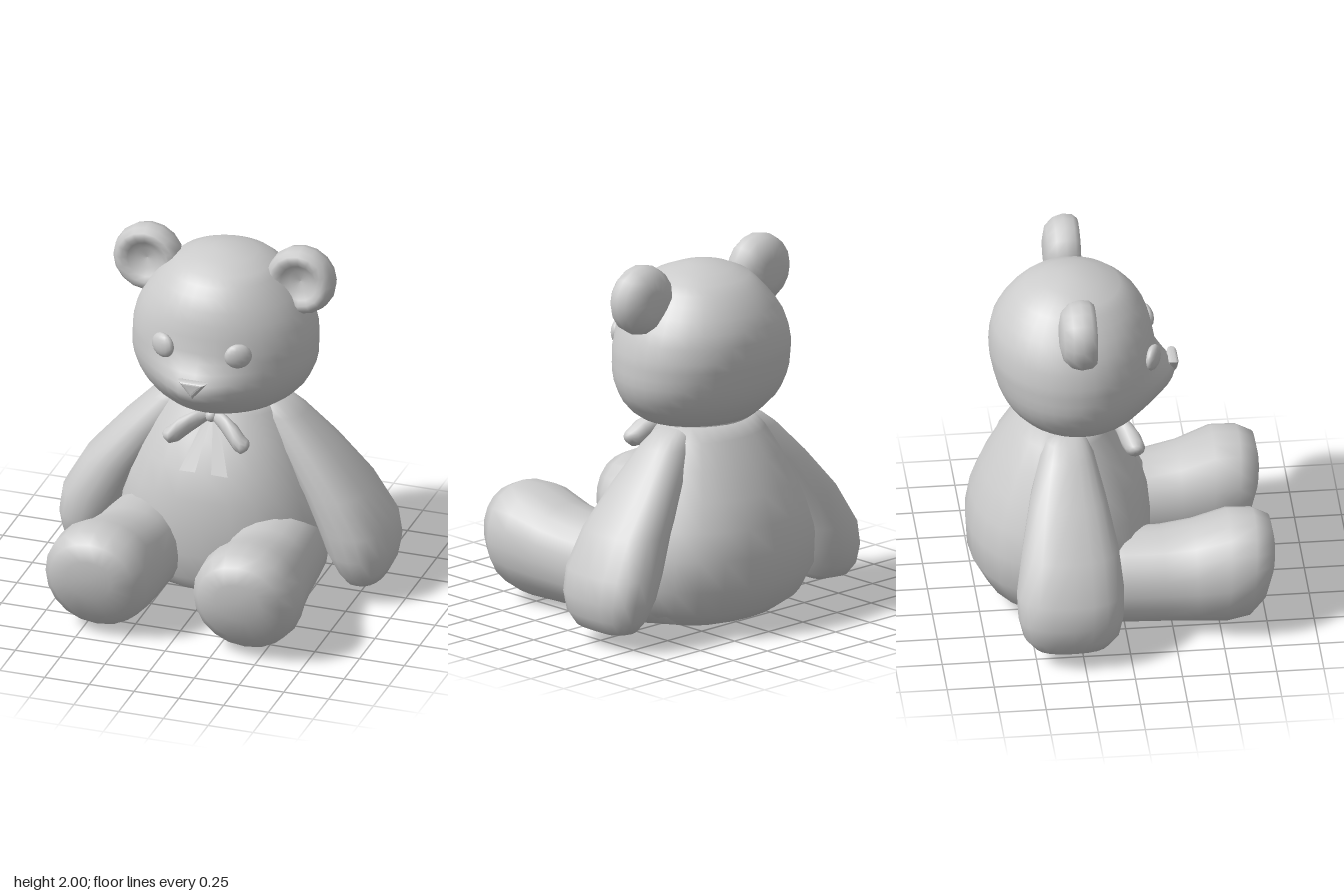
import * as THREE from 'three';

const material = new THREE.MeshStandardMaterial({ color: 0xcccccc });
const thinMaterial = new THREE.MeshStandardMaterial({ color: 0xcccccc, side: THREE.DoubleSide });

// Places ring coordinates (a, b) at distance s along an axis.
const place = {
  x: (s, a, b) => [s, a, b],
  y: (s, a, b) => [a, s, b],
  z: (s, a, b) => [a, b, s],
};

// Closed loft through oval sections [s, aMin, aMax, bMin, bMax, tilt]; power > 2 squares the ovals.
function loft(axis, sections, { sides = 20, power = 2 } = {}) {
  const pos = [], index = [];
  const tri = (a, b, c) => (axis === 'y' ? index.push(a, c, b) : index.push(a, b, c));
  const bend = v => Math.sign(v) * Math.pow(Math.abs(v), 2 / power);
  for (const [s, a0, a1, b0, b1, tilt = 0] of sections) {
    for (let j = 0; j < sides; j++) {
      const t = (j / sides) * Math.PI * 2;
      const db = bend(Math.sin(t)) * (b1 - b0) / 2;
      pos.push(...place[axis](s + tilt * db, (a0 + a1) / 2 + bend(Math.cos(t)) * (a1 - a0) / 2, (b0 + b1) / 2 + db));
    }
  }
  const last = sections.length - 1;
  for (let i = 0; i < last; i++) {
    for (let j = 0; j < sides; j++) {
      const k = (j + 1) % sides, p = i * sides, q = p + sides;
      tri(p + j, p + k, q + k);
      tri(p + j, q + k, q + j);
    }
  }
  // end caps
  for (const i of [0, last]) {
    const [s, a0, a1, b0, b1] = sections[i];
    const c = pos.length / 3, p = i * sides;
    pos.push(...place[axis](s, (a0 + a1) / 2, (b0 + b1) / 2));
    for (let j = 0; j < sides; j++) {
      const k = (j + 1) % sides;
      if (i === 0) tri(c, p + k, p + j);
      else tri(c, p + j, p + k);
    }
  }
  const g = new THREE.BufferGeometry();
  g.setAttribute('position', new THREE.Float32BufferAttribute(pos, 3));
  g.setIndex(index);
  g.computeVertexNormals();
  return g;
}

function ellipsoid(rx, ry, rz) {
  return new THREE.SphereGeometry(1, 14, 10).scale(rx, ry, rz);
}

// Swells the front of the head into a muzzle that blends with the cheeks.
function swellMuzzle(g) {
  const p = g.attributes.position;
  for (let i = 0; i < p.count; i++) {
    const x = p.getX(i), y = p.getY(i), z = p.getZ(i);
    const front = THREE.MathUtils.smoothstep(z, -0.15, 0.12);
    const height = (y - 1.3) / (y > 1.3 ? 0.115 : 0.15);
    p.setZ(i, z + 0.145 * front * Math.exp(-((x / 0.24) ** 2) - height ** 2));
  }
  g.computeVertexNormals();
  return g;
}

// Reflects a geometry across x = 0 and keeps its faces outward.
function mirrored(geometry) {
  const g = geometry.clone().scale(-1, 1, 1);
  const idx = g.index.array;
  for (let i = 0; i < idx.length; i += 3) [idx[i], idx[i + 1]] = [idx[i + 1], idx[i]];
  return g;
}

export function createModel() {
  const model = new THREE.Group();
  model.name = 'teddyBear';
  const add = (name, geometry, mat = material) => {
    const mesh = new THREE.Mesh(geometry, mat);
    mesh.name = name;
    model.add(mesh);
  };
  const addPair = (name, geometry, mat) => {
    add('left' + name, geometry, mat);
    add('right' + name, mirrored(geometry), mat);
  };
  // section symmetric in x: height, half width, back, front
  const sym = ([y, w, back, front]) => [y, -w, w, back, front];

  // Body
  add('body', loft('y', [
    [0.005, 0.28, -0.47, 0.0], [0.05, 0.42, -0.6, 0.1], [0.13, 0.52, -0.71, 0.15],
    [0.28, 0.58, -0.79, 0.18], [0.45, 0.58, -0.8, 0.18], [0.6, 0.53, -0.775, 0.165],
    [0.75, 0.465, -0.715, 0.125], [0.9, 0.395, -0.635, 0.04], [1.03, 0.32, -0.55, -0.04],
    [1.1, 0.26, -0.49, -0.08],
  ].map(sym), { sides: 24, power: 2.15 }));

  // Head with blended muzzle
  add('head', swellMuzzle(loft('y', [
    [1.075, 0.2, -0.4, 0.02], [1.11, 0.33, -0.5, 0.08], [1.15, 0.39, -0.54, 0.11], [1.2, 0.44, -0.585, 0.135],
    [1.25, 0.47, -0.615, 0.155], [1.3, 0.49, -0.635, 0.17], [1.35, 0.5, -0.65, 0.18], [1.4, 0.5, -0.66, 0.19],
    [1.45, 0.498, -0.67, 0.195], [1.5, 0.495, -0.675, 0.198], [1.58, 0.475, -0.67, 0.19],
    [1.65, 0.445, -0.655, 0.175], [1.72, 0.4, -0.62, 0.15], [1.78, 0.35, -0.58, 0.115],
    [1.83, 0.305, -0.535, 0.07], [1.87, 0.26, -0.485, 0.02], [1.91, 0.17, -0.4, -0.08], [1.93, 0.07, -0.3, -0.17],
  ].map(sym), { sides: 36, power: 2.05 })));

  // Nose: rounded triangle
  const tri = new THREE.Shape();
  tri.moveTo(0, -0.025);
  tri.lineTo(0.045, 0.02);
  tri.lineTo(-0.045, 0.02);
  add('nose', new THREE.ExtrudeGeometry(tri, {
    depth: 0.01, bevelThickness: 0.022, bevelSize: 0.028, bevelSegments: 4,
  }).translate(0, 1.35, 0.296));

  // Eyes
  addPair('Eye', ellipsoid(0.074, 0.069, 0.036).rotateY(0.45).translate(0.21, 1.508, 0.175));

  // Ears: gently dished in front, rounded behind
  const earProfile = [
    [0, -0.19], [0.07, -0.19], [0.13, -0.175], [0.175, -0.13], [0.19, -0.08], [0.183, -0.03],
    [0.16, -0.003], [0.13, 0], [0.1, -0.015], [0.06, -0.04], [0, -0.05],
  ].map(p => new THREE.Vector2(...p));
  addPair('Ear', new THREE.LatheGeometry(earProfile, 16).rotateX(Math.PI / 2).translate(0.428, 1.81, -0.152));

  // Arms
  addPair('Arm', loft('y', [
    [0.065, 0.7, 0.79, -0.4, -0.24], [0.1, 0.67, 0.87, -0.51, -0.12], [0.17, 0.63, 0.905, -0.57, -0.06],
    [0.27, 0.57, 0.925, -0.595, -0.035], [0.4, 0.52, 0.905, -0.6, -0.03], [0.6, 0.43, 0.79, -0.56, -0.05],
    [0.82, 0.3, 0.6, -0.5, -0.1], [1.0, 0.16, 0.43, -0.43, -0.15], [1.06, 0.14, 0.35, -0.4, -0.18],
    [1.085, 0.16, 0.28, -0.36, -0.22],
  ], { sides: 20, power: 2.4 }));

  // Legs with upturned feet
  addPair('Leg', loft('z', [
    [-0.45, 0.06, 0.5, 0.04, 0.42], [-0.2, 0.08, 0.585, 0.012, 0.49], [0, 0.12, 0.61, 0.012, 0.515],
    [0.2, 0.13, 0.63, 0.015, 0.525], [0.37, 0.125, 0.66, 0.018, 0.555], [0.54, 0.12, 0.7, 0.02, 0.62, 0.05],
    [0.67, 0.13, 0.695, 0.05, 0.615, 0.08], [0.75, 0.18, 0.645, 0.13, 0.575, 0.13],
    [0.785, 0.29, 0.54, 0.26, 0.48, 0.1],
  ], { power: 2.1 }));

  // Ribbon around the neck
  add('neckRibbon', new THREE.CylinderGeometry(0.265, 0.275, 0.05, 28, 1, true)
    .scale(1, 1, 0.79).translate(0, 1.085, -0.28), thinMaterial);

  // Bow: loops, knot and hanging ends
  addPair('BowLoop', loft('x', [
    [0.01, 1.015, 1.06, -0.04, 0.02], [0.06, 0.975, 1.07, -0.03, 0.05], [0.1, 0.945, 1.06, -0.01, 0.08],
    [0.16, 0.895, 1.03, 0.01, 0.12], [0.2, 0.888, 0.99, 0.03, 0.135], [0.228, 0.91, 0.97, 0.05, 0.12],
    [0.238, 0.93, 0.955, 0.07, 0.1],
  ], { sides: 12 }));
  add('bowKnot', ellipsoid(0.033, 0.033, 0.03).translate(0, 1.04, 0.005));
  const ribbonEnd = new THREE.BufferGeometry();
  ribbonEnd.setAttribute('position', new THREE.Float32BufferAttribute([
    0.005, 1.03, -0.01, 0.045, 0.76, 0.135, 0.135, 0.755, 0.13, 0.035, 1.03, -0.01,
  ], 3));
  ribbonEnd.setIndex([0, 1, 2, 0, 2, 3]);
  ribbonEnd.computeVertexNormals();
  addPair('RibbonEnd', ribbonEnd, thinMaterial);

  return model;
}
